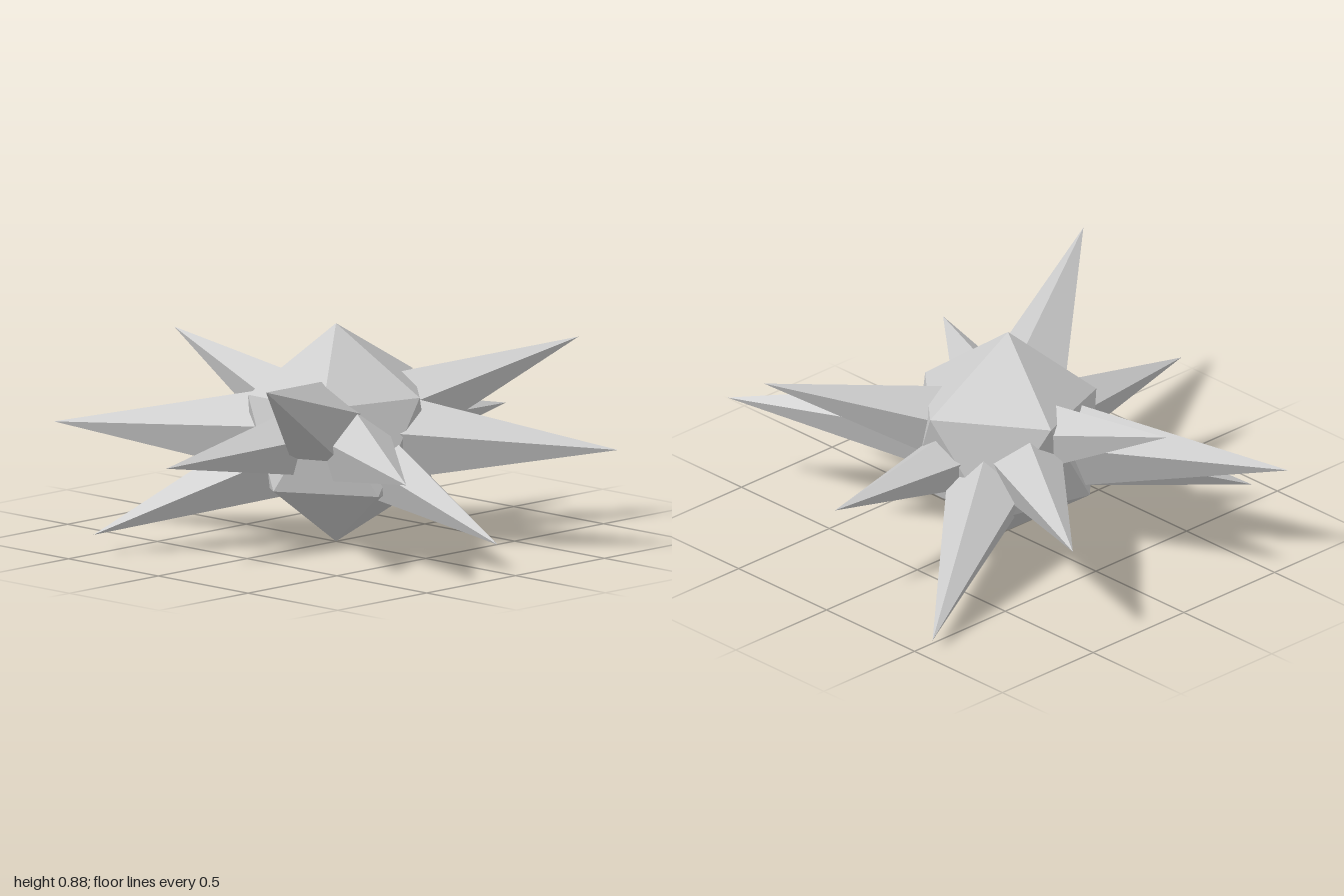
import * as THREE from 'three';

const CENTER_Y = 0.426;

// Irregular icosahedron: a pole, two rings of five, a pole; each corner has its own radius
function coreGeometry() {
  const upper = [0.48, 0.415, 0.39, 0.395, 0.433];
  const lower = [0.43, 0.41, 0.394, 0.41, 0.43];
  const corner = (r, turn, side) => {
    const a = turn * Math.PI / 5;
    return [0.894 * r * Math.cos(a), 0.447 * r * side, 0.894 * r * Math.sin(a)];
  };
  const top = [0, 0.454, 0], bottom = [0, -CENTER_Y, 0];
  const u = upper.map((r, i) => corner(r, 2 * i, 1));
  const l = lower.map((r, i) => corner(r, 2 * i + 1, -1));
  const points = [];
  for (let i = 0; i < 5; i++) {
    const j = (i + 1) % 5;
    points.push(top, u[j], u[i]);
    points.push(u[i], u[j], l[i]);
    points.push(l[i], u[j], l[j]);
    points.push(bottom, l[i], l[j]);
  }
  const g = new THREE.BufferGeometry();
  g.setAttribute('position', new THREE.Float32BufferAttribute(points.flat(), 3));
  g.computeVertexNormals();
  return g;
}

export function createModel() {
  const model = new THREE.Group();
  model.name = 'spikedStar';
  const material = new THREE.MeshStandardMaterial({ color: 0xcccccc, flatShading: true });

  const core = new THREE.Mesh(coreGeometry(), material);
  core.name = 'core';
  core.position.y = CENTER_Y;
  model.add(core);

  // Twelve five-sided spikes in three lengths, alternately level and tilted
  for (let i = 0; i < 12; i++) {
    const a = i * Math.PI / 6;
    const length = 0.955 + 0.1 * (i % 3);
    const geometry = new THREE.ConeGeometry(0.2 * length, length, 5);
    geometry.rotateY(Math.PI); // ridge ends up on top
    geometry.translate(0, length / 2, 0);
    geometry.rotateX(Math.PI / 2);
    const spike = new THREE.Mesh(geometry, material);
    spike.name = `spike${i + 1}`;
    spike.position.y = CENTER_Y;
    spike.lookAt(Math.cos(a), CENTER_Y + 0.35 * Math.sin(3 * a), Math.sin(a));
    model.add(spike);
  }
  return model;
}
